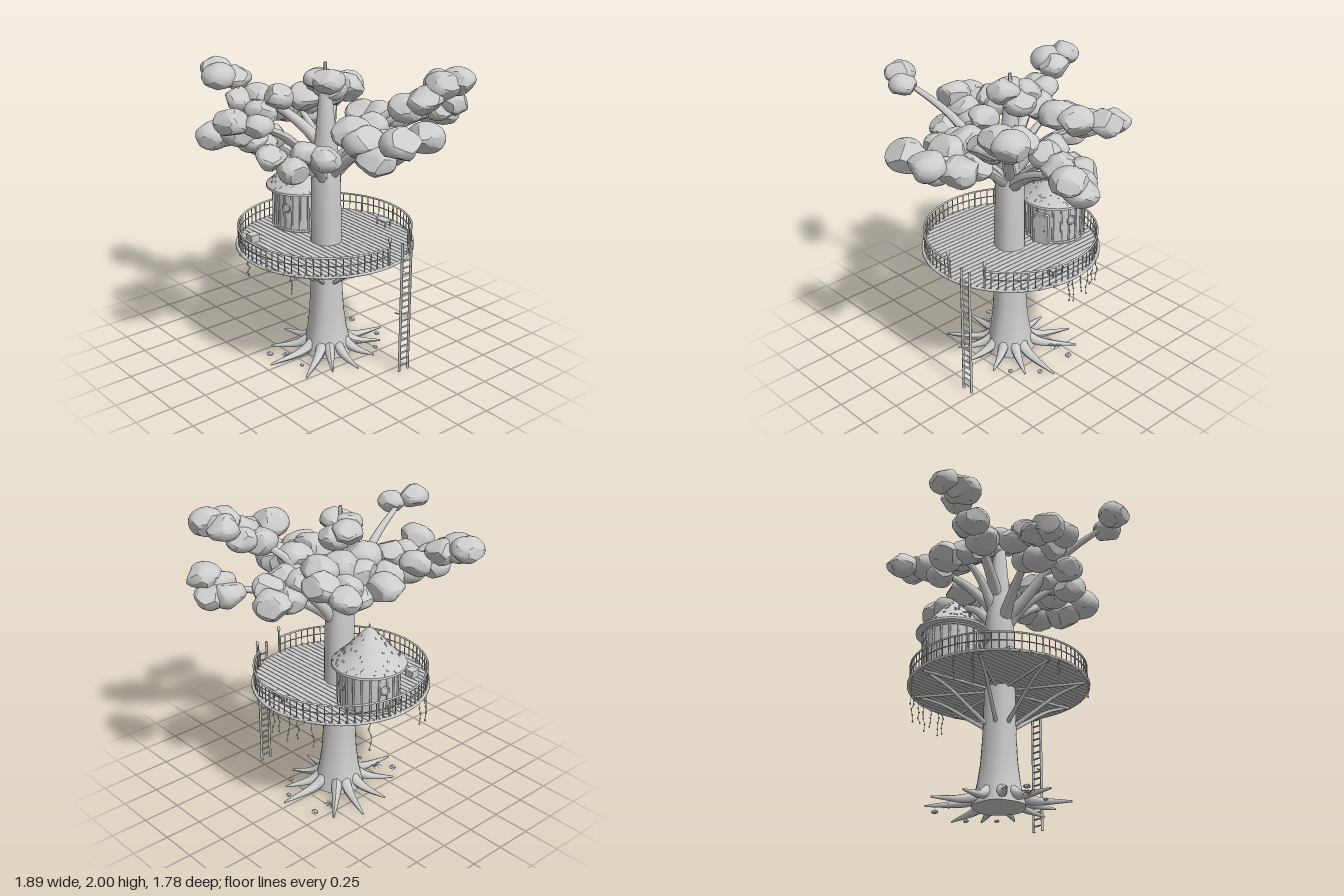
import * as THREE from 'three';
import { toCreasedNormals } from 'three/addons/utils/BufferGeometryUtils.js';

const V = (x, y, z) => new THREE.Vector3(x, y, z);
const clay = new THREE.MeshStandardMaterial({ color: 0xcccccc, side: THREE.DoubleSide });
clay.name = 'pale grey';

let seed = 7;
const rnd = () => (seed = (seed * 16807) % 2147483647) / 2147483647;
const CX = -0.01, CZ = -0.015, R = 0.58, DECK = 0.8;
const rad = THREE.MathUtils.degToRad;
const onDeck = (deg, y, r = R) => V(CX + r * Math.cos(rad(deg)), y, CZ + r * Math.sin(rad(deg)));

function add(group, name, geometry, x = 0, y = 0, z = 0) {
  const mesh = new THREE.Mesh(geometry, clay);
  mesh.name = name;
  mesh.position.set(x, y, z);
  group.add(mesh);
  return mesh;
}

// Tube through points, narrowing from r0 to r1
function taper(points, r0, r1, sides = 8, n = 12) {
  const curve = new THREE.CatmullRomCurve3(points);
  const g = new THREE.TubeGeometry(curve, n, 1, sides);
  const p = g.attributes.position, v = V(0, 0, 0);
  for (let i = 0; i < p.count; i++) {
    const t = Math.floor(i / (sides + 1)) / n, c = curve.getPointAt(t);
    v.fromBufferAttribute(p, i).sub(c).multiplyScalar(r0 + (r1 - r0) * t).add(c);
    p.setXYZ(i, v.x, v.y, v.z);
  }
  g.computeVertexNormals();
  return g;
}

const rod = (group, name, a, b, r, sides = 6) => add(group, name, taper([a, b], r, r, sides, 1));

function arcTube(from, to, y, r, thick) {
  const pts = [];
  for (let i = 0; i <= 60; i++) pts.push(onDeck(from + (to - from) * i / 60, y, r));
  return new THREE.TubeGeometry(new THREE.CatmullRomCurve3(pts), 90, thick, 6);
}

// Leaf clump: a squashed ball cut by a few random planes
function clump(r) {
  const g = new THREE.IcosahedronGeometry(1, 3), p = g.attributes.position, v = V(0, 0, 0);
  const cuts = Array.from({ length: 11 }, () => ({
    n: V(rnd() - 0.5, rnd() - 0.5, rnd() - 0.5).normalize(), d: 0.72 + rnd() * 0.2 }));
  for (let i = 0; i < p.count; i++) {
    v.fromBufferAttribute(p, i);
    for (const { n, d } of cuts) {
      const over = v.dot(n) - d;
      if (over > 0) v.addScaledVector(n, -over);
    }
    p.setXYZ(i, v.x * r * 1.07, v.y * r * 0.84, v.z * r * 1.07);
  }
  return toCreasedNormals(g, 0.4);
}

// Limb: a branch from the trunk, with leaf clumps zigzagging from its inner to its outer point
function limb(group, startY, inner, outer, count, radius, spread) {
  const tip = inner.clone().lerp(outer, 0.5), rise = tip.y - startY;
  add(group, 'branch', taper([V(0, startY - 0.1, 0), V(tip.x * 0.2, startY + rise * 0.12, tip.z * 0.2),
    V(tip.x * 0.55, startY + rise * 0.65, tip.z * 0.55), tip], 0.046, 0.014));
  const cluster = new THREE.Group();
  cluster.name = 'leafCluster';
  const side = V(inner.z - outer.z, 0, outer.x - inner.x).normalize();
  for (let i = 0; i < count; i++) {
    const c = inner.clone().lerp(outer, i / (count - 1)).addScaledVector(side, i % 2 ? spread : -spread);
    const wobble = count > 2 ? 0.04 * Math.sin(i * 2.4) : 0;
    add(cluster, 'leafClump', clump(radius * (0.88 + 0.26 * rnd())), c.x, c.y + wobble, c.z).rotation.y = rnd() * 6;
  }
  group.add(cluster);
}

function buildTree(group) {
  const profile = [[0, 0], [0.17, 0], [0.155, 0.06], [0.135, 0.15], [0.118, 0.28], [0.108, 0.45], [0.102, 0.7],
    [0.1, 1], [0.095, 1.25], [0.078, 1.42], [0.06, 1.6], [0.042, 1.8], [0.012, 1.95], [0.01, 2], [0, 2]];
  const g = new THREE.LatheGeometry(profile.map(([r, y]) => new THREE.Vector2(r, y)), 28);
  const p = g.attributes.position;
  for (let i = 0; i < p.count; i++) {
    const y = p.getY(i), a = Math.atan2(p.getZ(i), p.getX(i));
    const s = 1 + 0.03 * Math.sin(5 * a + 3 * y);
    const lean = Math.sin(y * Math.PI / 4);
    p.setX(i, p.getX(i) * s - 0.012 * lean);
    p.setZ(i, p.getZ(i) * s - 0.008 * lean);
  }
  add(group, 'trunk', toCreasedNormals(g, 0.7));

  // Roots, listed by tip x and z
  for (const [x, z] of [[-0.38, 0.25], [-0.46, -0.03], [-0.04, 0.37], [-0.3, -0.24], [0.16, -0.42],
    [0.33, -0.32], [0.46, 0.03], [0.33, 0.17], [0.16, 0.3], [-0.08, -0.38], [-0.2, 0.3]]) {
    const l = Math.hypot(x, z), dx = x / l, dz = z / l;
    add(group, 'root', taper([V(dx * 0.1, 0.09, dz * 0.1), V(dx * 0.2, 0.035, dz * 0.2), V(x, 0.012, z)], 0.042, 0.006));
  }

  // Limbs: start height, inner point, outer point, clump count, radius, spread
  limb(group, 1.32, V(-0.73, 1.79, 0.27), V(-0.86, 1.82, 0.19), 2, 0.1, 0);
  limb(group, 1.28, V(-0.38, 1.56, -0.2), V(-0.68, 1.63, -0.17), 8, 0.105, 0.1);
  limb(group, 1.25, V(-0.23, 1.49, 0.24), V(-0.53, 1.48, 0.14), 4, 0.095, 0.04);
  limb(group, 1.5, V(-0.2, 1.64, -0.4), V(-0.35, 1.88, -0.77), 6, 0.1, 0.04);
  limb(group, 1.35, V(-0.1, 1.74, -0.24), V(0.12, 1.58, -0.43), 6, 0.105, 0.08);
  limb(group, 1.4, V(0.24, 1.72, -0.19), V(0.46, 1.67, -0.48), 5, 0.11, 0.07);
  limb(group, 1.28, V(0.33, 1.6, 0.01), V(0.56, 1.53, 0.01), 5, 0.115, 0.055);
  limb(group, 1.38, V(0.3, 1.74, 0.45), V(0.6, 1.91, 0.5), 6, 0.105, 0.05);
  limb(group, 1.32, V(0.72, 1.58, 0.19), V(0.83, 1.63, 0.27), 4, 0.105, 0.04);
  limb(group, 1.3, V(0.03, 1.62, 0.26), V(0.01, 1.53, 0.56), 6, 0.115, 0.09);
  limb(group, 1.34, V(-0.07, 1.67, 0.76), V(0.12, 1.67, 0.76), 2, 0.13, 0);
  limb(group, 1.75, V(-0.02, 1.86, -0.09), V(0.02, 1.86, 0.02), 4, 0.095, 0.045);
}

function buildDeck(group) {
  // Planks run front to back and follow the round edge
  for (let i = -15; i <= 15; i++) {
    const x = i * 0.037, len = 2 * Math.sqrt(R * R - x * x) - 0.01;
    add(group, 'plank', new THREE.BoxGeometry(0.033, 0.014, len), CX + x, DECK - 0.007, CZ);
  }
  add(group, 'deckRim', arcTube(0, 360, DECK - 0.007, R, 0.01));
  // Radial joists and curved braces
  for (let i = 0; i < 8; i++) {
    const a = 12 + i * 45, c = Math.cos(rad(a)), s = Math.sin(rad(a));
    rod(group, 'joist', V(c * 0.08, 0.78, s * 0.08), onDeck(a, 0.78, 0.56), 0.009);
    add(group, 'brace', taper([V(c * 0.08, 0.52, s * 0.08), V(c * 0.2, 0.6, s * 0.2),
      V(c * 0.38, 0.72, s * 0.38), V(c * 0.54, 0.785, s * 0.54)], 0.015, 0.01, 6));
  }
  // Railing with a gap for the ladder
  for (const [y, t] of [[0.918, 0.007], [0.862, 0.004]]) add(group, 'rail', arcTube(85, 420, y, 0.57, t));
  for (let i = 0; i <= 72; i++) {
    const a = 85 + i * 335 / 72;
    rod(group, 'baluster', onDeck(a, DECK, 0.57), onDeck(a, 0.918, 0.57), i % 6 ? 0.0035 : 0.006, 5);
  }
  // Lantern posts beside the gap
  for (const a of [59, 85]) {
    rod(group, 'lanternPost', onDeck(a, DECK), onDeck(a, 0.96), 0.006);
    const p = onDeck(a, 0.975);
    add(group, 'lantern', new THREE.SphereGeometry(0.012, 8, 6), p.x, p.y, p.z).scale.y = 1.8;
  }
  // Ladder
  for (const x of [0.155, 0.23]) rod(group, 'ladderRail', V(x, 0, 0.557), V(x, 0.92, 0.557), 0.009);
  for (let i = 0; i < 18; i++) rod(group, 'rung', V(0.155, 0.04 + i * 0.047, 0.557), V(0.23, 0.04 + i * 0.047, 0.557), 0.006, 5);
  rod(group, 'ladderTie', V(0.155, 0.42, 0.557), V(0.15, 0.415, 0.51), 0.005);
  // Crate and stool
  add(group, 'crate', new THREE.BoxGeometry(0.065, 0.05, 0.065), -0.39, 0.825, -0.3);
  add(group, 'stoolSeat', new THREE.BoxGeometry(0.06, 0.01, 0.1), 0.46, 0.84, 0.04);
  for (const dx of [-0.02, 0.02]) for (const dz of [-0.04, 0.04])
    rod(group, 'stoolLeg', V(0.46 + dx, DECK, 0.04 + dz), V(0.46 + dx, 0.84, 0.04 + dz), 0.005);
  // Hanging vines with leaves: angle and length
  for (const [a, len] of [[4, 0.14], [0, 0.16], [-6, 0.12], [-14, 0.17], [-20, 0.14], [-30, 0.17], [-66, 0.19],
    [-108, 0.16], [-120, 0.2], [150, 0.12], [186, 0.1], [240, 0.2]]) {
    const pts = [0, 1, 2, 3, 4].map(i => onDeck(a, 0.79 - len * i / 4, R).add(V((rnd() - 0.5) * 0.02, 0, (rnd() - 0.5) * 0.02)));
    add(group, 'vine', taper(pts, 0.003, 0.002, 4, 8));
    for (const p of pts.slice(1)) add(group, 'vineLeaf', new THREE.OctahedronGeometry(0.008), p.x, p.y, p.z).scale.y = 1.3;
  }
}

function buildHut(hut) {
  hut.position.set(0.06, DECK, -0.355);
  add(hut, 'hutWall', new THREE.CylinderGeometry(0.19, 0.19, 0.29, 40), 0, 0.145, 0);
  for (let i = 0; i < 22; i++) {
    const a = i * Math.PI / 11, x = 0.193 * Math.cos(a), z = 0.193 * Math.sin(a);
    rod(hut, 'wallPost', V(x, 0, z), V(x, 0.28, z), 0.007);
  }
  for (const y of [0.012, 0.27]) add(hut, 'wallBand', new THREE.TorusGeometry(0.194, 0.008, 6, 40), 0, y, 0).rotation.x = Math.PI / 2;
  const roof = [[0, 0.29], [0.225, 0.27], [0.24, 0.275], [0.238, 0.29], [0.175, 0.345], [0.11, 0.42], [0.05, 0.485], [0.006, 0.525], [0, 0.528]];
  add(hut, 'roof', toCreasedNormals(new THREE.LatheGeometry(roof.map(([r, y]) => new THREE.Vector2(r, y)), 36), 0.6));
  add(hut, 'finial', new THREE.ConeGeometry(0.01, 0.04, 8), 0, 0.535, 0);
  // Scattered thatch chips
  for (let i = 0; i < 90; i++) {
    const a = rnd() * 6.28, r = 0.03 + 0.2 * Math.sqrt(rnd());
    const y = r > 0.175 ? 0.345 - (r - 0.175) * 0.87 : r > 0.11 ? 0.42 - (r - 0.11) * 1.15 : 0.485 - (r - 0.05) * 1.08;
    const chip = add(hut, 'thatchChip', new THREE.BoxGeometry(0.012, 0.006, 0.014), r * Math.sin(a), y + 0.001, r * Math.cos(a));
    chip.rotation.set(0.8, a, 0, 'YXZ');
  }
  // Door and round windows, each facing outward
  const facing = (name, a) => {
    const g = new THREE.Group();
    g.name = name;
    g.position.set(0.196 * Math.sin(a), 0, 0.196 * Math.cos(a));
    g.rotation.y = a;
    hut.add(g);
    return g;
  };
  const door = facing('door', 0.3);
  add(door, 'doorPanel', new THREE.BoxGeometry(0.09, 0.2, 0.016), 0, 0.1, 0);
  for (const x of [-0.049, 0.049]) add(door, 'doorJamb', new THREE.BoxGeometry(0.012, 0.21, 0.026), x, 0.105, 0);
  add(door, 'doorLintel', new THREE.BoxGeometry(0.11, 0.012, 0.026), 0, 0.21, 0);
  add(door, 'doorKnob', new THREE.SphereGeometry(0.006, 8, 6), 0.03, 0.1, 0.012);
  for (const a of [1.35, -1.2, 2.9]) {
    const w = facing('window', a);
    add(w, 'windowFrame', new THREE.TorusGeometry(0.028, 0.006, 6, 20), 0, 0.17, 0.004);
    add(w, 'windowPane', new THREE.CylinderGeometry(0.028, 0.028, 0.008, 20), 0, 0.17, 0).rotation.x = Math.PI / 2;
  }
}

function buildGround(group) {
  for (const [x, z, r] of [[0.38, -0.19, 0.024], [0.38, 0.08, 0.02], [-0.38, -0.15, 0.024], [0.24, 0.22, 0.018], [-0.3, 0.1, 0.016]]) {
    add(group, 'stone', toCreasedNormals(new THREE.DodecahedronGeometry(r), 0.3), x, r * 0.6, z).scale.y = 0.6;
  }
  // Fern tufts
  for (const [x, z] of [[0.24, -0.2], [-0.3, -0.05]]) for (let i = 0; i < 8; i++) {
    const c = Math.cos(i * 0.785), s = Math.sin(i * 0.785);
    add(group, 'fernFrond', taper([V(x, 0.004, z), V(x + c * 0.025, 0.028, z + s * 0.025), V(x + c * 0.05, 0.015, z + s * 0.05)], 0.004, 0.001, 4, 5));
  }
}

export function createModel() {
  const model = new THREE.Group();
  model.name = 'treehouse';
  for (const [name, build] of [['tree', buildTree], ['deck', buildDeck], ['hut', buildHut], ['ground', buildGround]]) {
    const part = new THREE.Group();
    part.name = name;
    build(part);
    model.add(part);
  }
  return model;
}
